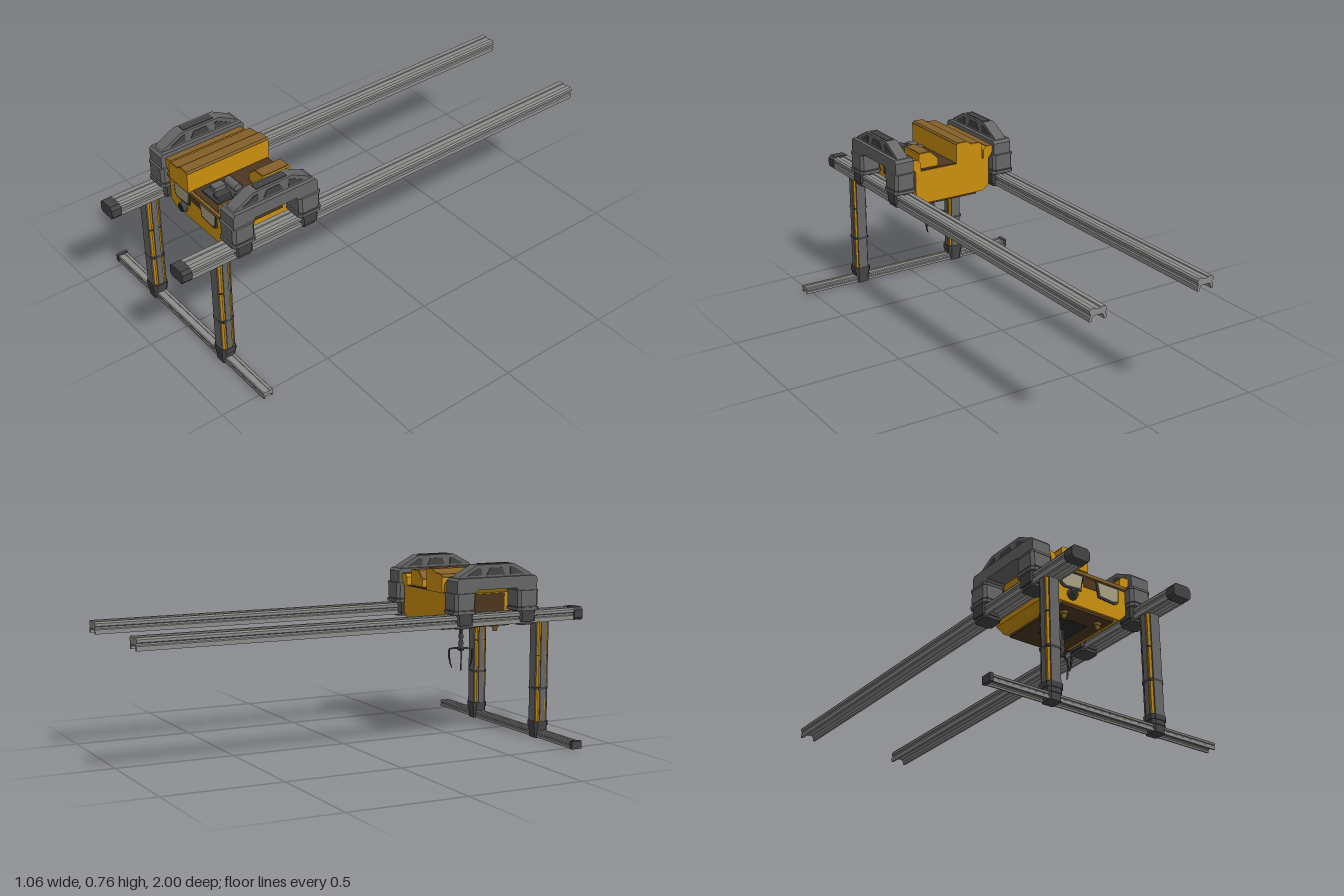
import * as THREE from 'three';

const mat = (name, color, extra = {}) => Object.assign(new THREE.MeshStandardMaterial({ color, ...extra }), { name });
const M = {
  yellow: mat('yellow paint', 0xcb900e),
  ochre: mat('worn ochre', 0x84602a),
  brown: mat('dark brown', 0x4c3620),
  rail: mat('rail grey', 0x8c8c8a),
  grey: mat('frame grey', 0x666667),
  dark: mat('dark grey', 0x434344),
  black: mat('black', 0x2a2a2b),
  glass: mat('window glass', 0xa5a183),
};

function add(parent, name, geo, material, x = 0, y = 0, z = 0) {
  const m = new THREE.Mesh(geo, material);
  m.name = name;
  m.position.set(x, y, z);
  parent.add(m);
  return m;
}
// box given by its limits
function box(parent, name, material, x0, x1, y0, y1, z0, z1) {
  return add(parent, name, new THREE.BoxGeometry(x1 - x0, y1 - y0, z1 - z0), material,
    (x0 + x1) / 2, (y0 + y1) / 2, (z0 + z1) / 2);
}
const shape = (pts) => new THREE.Shape(pts.map(([a, b]) => new THREE.Vector2(a, b)));
// profile in x,y swept from z0 to z1
const sweepZ = (pts, z0, z1) =>
  new THREE.ExtrudeGeometry(shape(pts), { depth: z1 - z0, bevelEnabled: false }).translate(0, 0, z0);
// profile in z,y swept across a width centred on x = 0
const sweepX = (pts, w) =>
  new THREE.ExtrudeGeometry(shape(pts), { depth: w, bevelEnabled: false }).translate(0, 0, -w / 2).rotateY(-Math.PI / 2);
// octagonal block: rectangle with cut corners, standing on y0
function block(w, d, y0, y1, c) {
  const a = w / 2, b = d / 2;
  const s = shape([[-a + c, -b], [a - c, -b], [a, -b + c], [a, b - c], [a - c, b], [-a + c, b], [-a, b - c], [-a, -b + c]]);
  return new THREE.ExtrudeGeometry(s, { depth: y1 - y0, bevelEnabled: false }).rotateX(-Math.PI / 2).translate(0, y0, 0);
}
// grooved beam profile with an open channel underneath
function railProfile(w, h) {
  const half = [[0.06, 0.92], [0.3, 0.92], [0.34, 1], [0.85, 1], [1, 0.86], [1, 0.64], [0.86, 0.57],
    [0.86, 0.43], [1, 0.36], [1, 0], [0.72, 0], [0.72, 0.22], [0.5, 0.42]];
  const r = half.map(([x, y]) => [x * w / 2, y * h]);
  return [...r, ...r.map(([x, y]) => [-x, y]).reverse()];
}

function buildLeg() {
  const g = new THREE.Group();
  g.name = 'supportLeg';
  add(g, 'legCore', block(0.058, 0.054, 0.06, 0.5, 0.008), M.yellow);
  // grey face plates on all four sides
  for (const s of [-1, 1]) {
    box(g, 'legFacePlate', M.grey, -0.022, 0.022, 0.07, 0.5, s * 0.0285 - 0.003, s * 0.0285 + 0.003);
    box(g, 'legSidePlate', M.grey, s * 0.0305 - 0.003, s * 0.0305 + 0.003, 0.07, 0.5, -0.012, 0.012);
  }
  add(g, 'legBand', block(0.068, 0.064, 0.21, 0.22, 0.01), M.dark);
  add(g, 'legSeam', block(0.066, 0.062, 0.355, 0.359, 0.01), M.dark);
  // foot clamped over the floor rail
  add(g, 'footBase', block(0.054, 0.056, 0, 0.035, 0.006), M.dark);
  add(g, 'footCollar', block(0.066, 0.062, 0.03, 0.052, 0.01), M.dark);
  add(g, 'footRim', block(0.074, 0.068, 0.05, 0.072, 0.012), M.dark);
  return g;
}

// truck riding on a rail, local x = 0 at the rail centre
function buildTruck() {
  const g = new THREE.Group();
  g.name = 'railTruck';
  const arch = [[0.765, 0.62], [0.765, 0.69], [0.755, 0.702], [0.385, 0.702], [0.375, 0.69], [0.375, 0.62],
    [0.45, 0.62], [0.475, 0.652], [0.665, 0.652], [0.69, 0.62]];
  add(g, 'truckArch', sweepX(arch, 0.085), M.grey);
  add(g, 'truckCrown', sweepX([[0.75, 0.70], [0.74, 0.712], [0.66, 0.754], [0.48, 0.754], [0.4, 0.712], [0.39, 0.70]], 0.052), M.grey);
  // dark recess panels on the crown
  for (const s of [-1, 1]) {
    for (const [a, b, c, d] of [[0.43, 0.5, 0.485, 0.5], [0.525, 0.615, 0.54, 0.6], [0.64, 0.71, 0.64, 0.655]])
      add(g, 'crownRecess', sweepX([[a, 0.71], [b, 0.71], [d, 0.74], [c, 0.74]], 0.003), M.dark, s * 0.0265);
  }
  box(g, 'crownTopStrip', M.dark, -0.016, 0.016, 0.753, 0.757, 0.5, 0.64);
  for (const z of [0.721, 0.415]) {
    add(g, 'truckPillar', block(0.098, 0.1, 0.575, 0.638, 0.012), M.grey, 0, 0, z);
    add(g, 'pillarCollar', block(0.106, 0.108, 0.555, 0.568, 0.014), M.grey, 0, 0, z);
    add(g, 'pillarNeck', block(0.096, 0.096, 0.563, 0.58, 0.012), M.dark, 0, 0, z);
    add(g, 'pillarRim', block(0.102, 0.104, 0.632, 0.641, 0.012), M.grey, 0, 0, z);
    add(g, 'railShoe', block(0.092, 0.084, 0.508, 0.557, 0.012), M.dark, 0, 0, z);
    add(g, 'shoeFoot', block(0.08, 0.076, 0.494, 0.51, 0.012), M.dark, 0, 0, z);
  }
  return g;
}

function buildCabin() {
  const g = new THREE.Group();
  g.name = 'cabin';
  // hull with raised ears reaching to the trucks
  const hull = [[-0.15, 0.483], [0.15, 0.483], [0.182, 0.515], [0.182, 0.625], [0.203, 0.655], [0.203, 0.682],
    [0.172, 0.682], [0.157, 0.668], [0.157, 0.63], [-0.157, 0.63], [-0.157, 0.668], [-0.172, 0.682],
    [-0.203, 0.682], [-0.203, 0.655], [-0.182, 0.625], [-0.182, 0.505]];
  add(g, 'hull', sweepZ(hull, 0.39, 0.745), M.yellow);
  box(g, 'deck', M.brown, -0.156, 0.156, 0.628, 0.634, 0.392, 0.745);
  box(g, 'frontLip', M.ochre, -0.18, 0.18, 0.618, 0.632, 0.74, 0.757);
  box(g, 'underPlate', M.brown, -0.125, 0.125, 0.472, 0.484, 0.4, 0.735);
  box(g, 'underHatch', M.black, -0.06, 0.06, 0.468, 0.474, 0.5, 0.65);
  for (const s of [-1, 1]) {
    box(g, 'sidePanel', M.brown, s * 0.183 - 0.003, s * 0.183 + 0.003, 0.545, 0.622, 0.47, 0.67);
    box(g, 'earTop', M.ochre, s * 0.187 - 0.014, s * 0.187 + 0.014, 0.681, 0.684, 0.392, 0.743);
  }
  box(g, 'rustPatch', M.brown, -0.03, 0.035, 0.575, 0.619, 0.744, 0.747);

  // windows: dark frame behind a glass pane
  const pane = (s, e) => [[0.142 + e, 0.613 + e], [0.036 - e, 0.613 + e], [0.046 - e, 0.552 - e], [0.12 + e, 0.546 - e], [0.138 + e, 0.556 - e]]
    .map(([x, y]) => [x * s, y]);
  for (const s of [-1, 1]) {
    add(g, 'windowFrame', sweepZ(pane(s, 0.004), 0.742, 0.75), M.dark);
    add(g, 'windowGlass', sweepZ(pane(s, -0.003), 0.746, 0.753), M.glass);
    add(g, 'underLampBase', new THREE.CylinderGeometry(0.018, 0.014, 0.016, 12), M.ochre, s * 0.082, 0.468, 0.69);
    add(g, 'underLamp', new THREE.CylinderGeometry(0.011, 0.009, 0.018, 12), M.ochre, s * 0.082, 0.453, 0.69);
  }
  add(g, 'headLamp', new THREE.CylinderGeometry(0.019, 0.024, 0.02, 16).rotateX(Math.PI / 2), M.dark, -0.086, 0.52, 0.753);
  add(g, 'headLampLens', new THREE.CylinderGeometry(0.013, 0.013, 0.005, 16).rotateX(Math.PI / 2), M.black, -0.086, 0.52, 0.763);

  // long housing on the right half of the roof
  const crest = [[-0.018, 0.715], [-0.024, 0.723], [-0.07, 0.723], [-0.088, 0.71], [-0.137, 0.706], [-0.147, 0.695]];
  add(g, 'longHousing', sweepZ([[-0.147, 0.63], [-0.018, 0.63], ...crest], 0.385, 0.765), M.yellow);
  const under = crest.map(([x, y]) => [x, y - 0.002]).reverse();
  add(g, 'longHousingTop', sweepZ([...crest.map(([x, y]) => [x, y + 0.002]), ...under], 0.388, 0.762), M.ochre);

  // small sloped housing on the left half
  add(g, 'smallHousing', sweepZ([[0.06, 0.63], [0.154, 0.63], [0.154, 0.695], [0.149, 0.7], [0.1, 0.7], [0.06, 0.665]], 0.41, 0.535), M.yellow);
  add(g, 'smallHousingTop', sweepZ([[0.15, 0.699], [0.15, 0.703], [0.099, 0.703], [0.06, 0.668], [0.06, 0.664], [0.1, 0.699]], 0.413, 0.532), M.ochre);

  // winch machinery
  box(g, 'winchBed', M.dark, 0.01, 0.115, 0.632, 0.642, 0.58, 0.72);
  add(g, 'winchDrum', new THREE.CylinderGeometry(0.018, 0.018, 0.07, 14).rotateZ(Math.PI / 2), M.grey, 0.06, 0.65, 0.61);
  box(g, 'winchMotor', M.grey, 0.02, 0.055, 0.64, 0.66, 0.64, 0.69);
  box(g, 'winchGearbox', M.dark, 0.07, 0.105, 0.64, 0.656, 0.65, 0.71);
  add(g, 'winchWheel', new THREE.TorusGeometry(0.014, 0.004, 6, 16).rotateX(Math.PI / 2), M.grey, 0.125, 0.65, 0.64);
  return g;
}

function buildClaw() {
  const g = new THREE.Group();
  g.name = 'claw';
  g.position.z = 0.57;
  const stem = [[0.004, 0.48], [0.005, 0.43], [0.01, 0.425], [0.01, 0.41], [0.006, 0.405], [0.012, 0.39], [0.009, 0.375], [0.015, 0.368], [0.013, 0.356], [0, 0.354]];
  add(g, 'clawStem', new THREE.LatheGeometry(stem.reverse().map(([r, y]) => new THREE.Vector2(r, y)), 12), M.dark);
  for (const s of [-1, 1]) box(g, 'hoistRod', M.grey, s * 0.008 - 0.002, s * 0.008 + 0.002, 0.425, 0.475, -0.003, 0.003);
  // three bent prongs
  for (let i = 0; i < 3; i++) {
    const prong = sweepX([[0.008, 0.37], [0.035, 0.367], [0.06, 0.36], [0.062, 0.33], [0.055, 0.298], [0.043, 0.274],
      [0.051, 0.3], [0.055, 0.33], [0.054, 0.354], [0.033, 0.36], [0.008, 0.361]], 0.006);
    add(g, 'clawProng', prong, M.dark).rotation.y = i * Math.PI * 2 / 3;
  }
  return g;
}

export function createModel() {
  const root = new THREE.Group();
  root.name = 'gantryCrane';
  for (const s of [-1, 1]) {
    const x = s * 0.246;
    // overhead rail with an end cap at the front
    add(root, 'overheadRail', sweepZ(railProfile(0.075, 0.05), -1, 0.97), M.rail, x, 0.501, 0);
    add(root, 'railEndCap', sweepZ([[-0.034, 0], [0.034, 0], [0.042, 0.01], [0.042, 0.042], [0.03, 0.055], [-0.03, 0.055],
      [-0.042, 0.042], [-0.042, 0.01]], 0.957, 1), M.dark, x, 0.499, 0);
    const leg = buildLeg();
    leg.position.set(x, 0, 0.808);
    root.add(leg);
    const truck = buildTruck();
    truck.position.x = x - s * 0.002;
    root.add(truck);
  }
  // floor rail across the feet
  add(root, 'floorRail', sweepZ(railProfile(0.044, 0.03), -0.53, 0.53).rotateY(Math.PI / 2), M.rail, 0, 0.002, 0.808);
  box(root, 'floorRailCap', M.dark, -0.533, -0.518, 0.001, 0.034, 0.784, 0.832);
  root.add(buildCabin(), buildClaw());
  return root;
}
